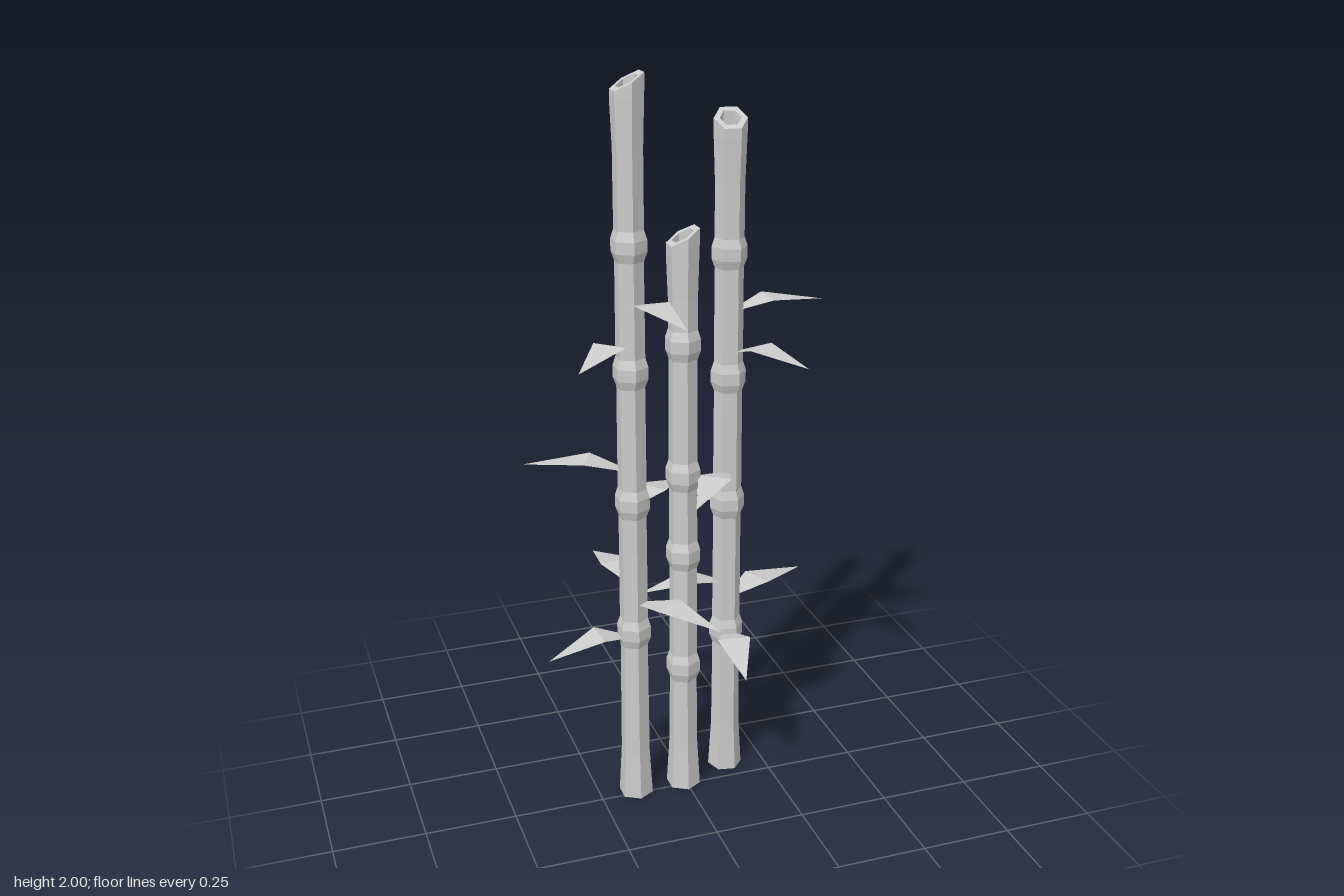
import * as THREE from 'three';

const material = new THREE.MeshStandardMaterial({ color: 0xcccccc, flatShading: true });
const leafMaterial = new THREE.MeshStandardMaterial({ color: 0xcccccc, flatShading: true, side: THREE.DoubleSide });

// Six-sided cane with swollen nodes and a slanted, hollow cut at the top
function cane(top, nodes) {
  const points = [[0, 0], [0.048, 0], [0.04, 0.14]];
  for (const y of nodes) {
    points.push([0.038, y - 0.04], [0.047, y - 0.016], [0.047, y + 0.016], [0.039, y + 0.04]);
  }
  points.push([0.039, top - 0.16], [0.0435, top - 0.03], [0.0435, top]);
  points.push([0.028, top], [0.028, top - 0.04], [0, top - 0.04]);
  const geometry = new THREE.LatheGeometry(points.map(([r, y]) => new THREE.Vector2(r, y)), 6);
  const p = geometry.attributes.position;
  for (let i = 0; i < p.count; i++) {
    if (p.getY(i) > top - 0.05) p.setY(i, p.getY(i) + 0.55 * p.getX(i)); // slanted cut
  }
  geometry.computeVertexNormals();
  const mesh = new THREE.Mesh(geometry, material);
  mesh.name = 'cane';
  return mesh;
}

// Thin leaf along +x, rising to a fold at its widest place and drooping to the tip
function leaf(length, base, fold, tip) {
  const mid = length * 0.41;
  const geometry = new THREE.BufferGeometry();
  geometry.setAttribute('position', new THREE.Float32BufferAttribute([
    0.02, base, 0.012, 0.02, base, -0.012,
    mid, fold, 0.046, mid, fold, -0.046,
    length, tip, 0,
  ], 3));
  geometry.setIndex([0, 2, 1, 1, 2, 3, 2, 4, 3]);
  geometry.computeVertexNormals();
  const mesh = new THREE.Mesh(geometry, leafMaterial);
  mesh.name = 'leaf';
  return mesh;
}

// Angle from +x towards +z in degrees, length, heights of base, fold and tip
const leaves = [
  [79, 0.293, 1.43, 1.458, 1.437],
  [136, 0.256, 1.32, 1.35, 1.32],
  [205, 0.29, 0.98, 1.006, 0.983],
  [-39, 0.228, 0.88, 0.9, 0.875],
  [260, 0.251, 0.65, 0.675, 0.645],
  [55.5, 0.294, 0.598, 0.62, 0.595],
  [176, 0.244, 0.495, 0.517, 0.465],
];

function stalk(name, x, z, turn, top, nodes, leafDrop) {
  const group = new THREE.Group();
  group.name = name;
  group.add(cane(top, nodes));
  if (leafDrop !== null) {
    for (const [angle, length, ...heights] of leaves) {
      // The top leaf of the lowered stalk is a little shorter
      const size = leafDrop && angle === 79 ? 0.262 : length;
      const blade = leaf(size, ...heights.map((h) => h - leafDrop));
      blade.rotation.y = -THREE.MathUtils.degToRad(angle);
      group.add(blade);
    }
  }
  group.position.set(x, 0, z);
  group.rotation.y = THREE.MathUtils.degToRad(turn);
  return group;
}

export function createModel() {
  const model = new THREE.Group();
  model.name = 'bambooStalks';
  model.add(
    stalk('tallStalk', -0.147, -0.017, 0, 1.98, [0.51, 0.89, 1.25, 1.58], 0),
    stalk('shortStalk', -0.006, -0.017, 0, 1.593, [0.38, 0.72, 0.95, 1.31], null),
    stalk('middleStalk', 0.14, -0.074, 79, 1.867, [0.44, 0.83, 1.19, 1.525], 0.06),
  );
  return model;
}
